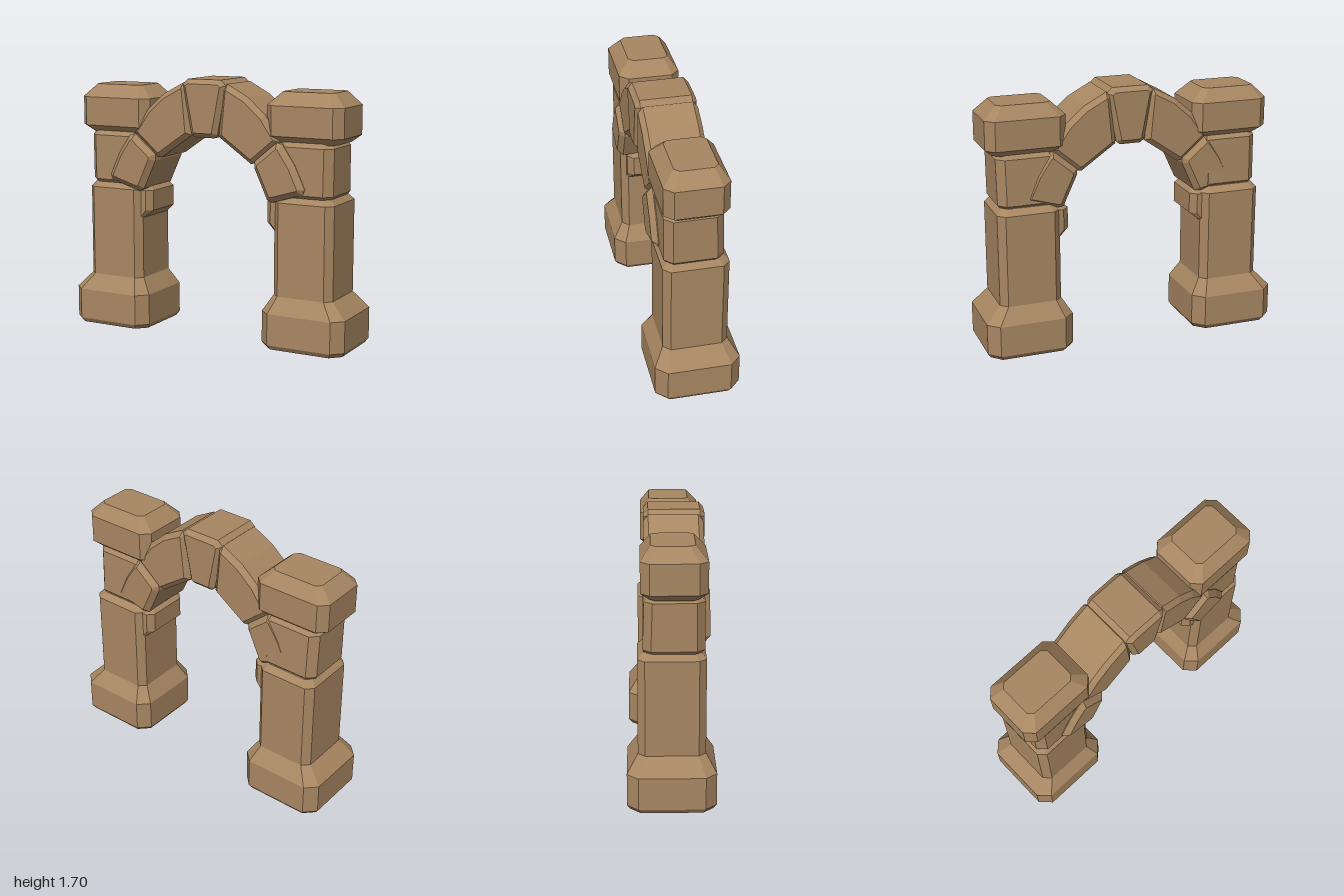
import * as THREE from 'three';

// Stacked rectangular rings with cut corners: [y, x0, x1, z0, z1, cut]
function cutBlock(rings, side) {
  const loops = rings.map(([y, a, b, z0, z1, c]) => {
    const x0 = side > 0 ? a : -b, x1 = side > 0 ? b : -a;
    return [
      [x1, y, z0 + c], [x1, y, z1 - c], [x1 - c, y, z1], [x0 + c, y, z1],
      [x0, y, z1 - c], [x0, y, z0 + c], [x0 + c, y, z0], [x1 - c, y, z0],
    ];
  });
  const pos = [];
  const tri = (...pts) => pts.forEach((p) => pos.push(...p));
  for (let r = 0; r < loops.length - 1; r++) {
    const lo = loops[r], hi = loops[r + 1];
    for (let i = 0; i < 8; i++) {
      const j = (i + 1) % 8;
      tri(lo[i], hi[i], lo[j]);
      tri(hi[i], hi[j], lo[j]);
    }
  }
  const bottom = loops[0], top = loops[loops.length - 1];
  for (let i = 1; i < 7; i++) {
    tri(bottom[0], bottom[i], bottom[i + 1]);
    tri(top[0], top[i + 1], top[i]);
  }
  const geo = new THREE.BufferGeometry();
  geo.setAttribute('position', new THREE.Float32BufferAttribute(pos, 3));
  geo.computeVertexNormals();
  return geo;
}

// Front outline extruded from z0 to z1 with chamfered front and back edges
function bevelStone(points, z0, z1, bevel, side = 1) {
  const shape = new THREE.Shape(points.map(([x, y]) => new THREE.Vector2(x * side, y)));
  const geo = new THREE.ExtrudeGeometry(shape, {
    depth: z1 - z0 - 2 * bevel, bevelEnabled: true, bevelSegments: 1,
    bevelSize: bevel, bevelThickness: bevel, bevelOffset: -bevel,
  });
  return geo.translate(0, 0, z0 + bevel);
}

export function createModel() {
  const group = new THREE.Group();
  group.name = 'stoneArch';
  const stone = new THREE.MeshStandardMaterial({ color: 0xa88762 });
  stone.name = 'sandstone';

  const add = (name, geo) => {
    const mesh = new THREE.Mesh(geo, stone);
    mesh.name = name;
    group.add(mesh);
  };

  for (const side of [-1, 1]) {
    const label = side > 0 ? 'left' : 'right';

    // Plinth flaring into the shaft
    add(label + 'Pillar', cutBlock([
      [0, 0.445, 0.98, -0.255, 0.255, 0.065],
      [0.03, 0.425, 1, -0.275, 0.275, 0.07],
      [0.235, 0.425, 1, -0.275, 0.275, 0.07],
      [0.34, 0.49, 0.9, -0.207, 0.21, 0.045],
      [0.945, 0.49, 0.9, -0.207, 0.21, 0.045],
      [0.985, 0.525, 0.865, -0.17, 0.175, 0.035],
    ], side));

    // Bracket on the inner face of the shaft
    add(label + 'Bracket', cutBlock([
      [0.755, 0.485, 0.6, -0.17, 0.175, 0.02],
      [0.805, 0.425, 0.6, -0.17, 0.175, 0.04],
      [0.94, 0.425, 0.6, -0.17, 0.175, 0.04],
      [0.975, 0.46, 0.6, -0.14, 0.145, 0.03],
    ], side));

    // Middle block
    add(label + 'MiddleBlock', cutBlock([
      [0.965, 0.53, 0.855, -0.14, 0.165, 0.03],
      [1.0, 0.49, 0.885, -0.175, 0.2, 0.05],
      [1.3, 0.49, 0.888, -0.165, 0.2, 0.05],
      [1.335, 0.525, 0.86, -0.135, 0.17, 0.035],
    ], side));

    // Capstone
    add(label + 'Capstone', cutBlock([
      [1.32, 0.485, 0.9, -0.135, 0.165, 0.04],
      [1.365, 0.43, 0.955, -0.187, 0.215, 0.055],
      [1.555, 0.43, 0.955, -0.187, 0.215, 0.055],
      [1.64, 0.52, 0.87, -0.125, 0.14, 0.03],
    ], side));

    // Lowest arch stone, leaning against the middle block
    add(label + 'Springer', bevelStone([
      [0.365, 1.155], [0.455, 0.96], [0.49, 0.942], [0.7, 1.005],
      [0.715, 1.04], [0.645, 1.19], [0.56, 1.315], [0.52, 1.325], [0.365, 1.195],
    ], side > 0 ? -0.18 : -0.172, 0.24, 0.035, side));

    // Curved arch stone
    add(label + 'ArchStone', bevelStone([
      [0.1, 1.335], [0.33, 1.175], [0.36, 1.18], [0.53, 1.325], [0.525, 1.355],
      [0.43, 1.49], [0.31, 1.595], [0.16, 1.675], [0.13, 1.65],
    ], -0.165, 0.215, 0.032, side));
  }

  // Keystone
  add('keystone', bevelStone([
    [-0.07, 1.325], [0.07, 1.325], [0.095, 1.345], [0.158, 1.665],
    [0.12, 1.7], [-0.12, 1.7], [-0.158, 1.665], [-0.095, 1.345],
  ], -0.165, 0.226, 0.03));

  return group;
}
